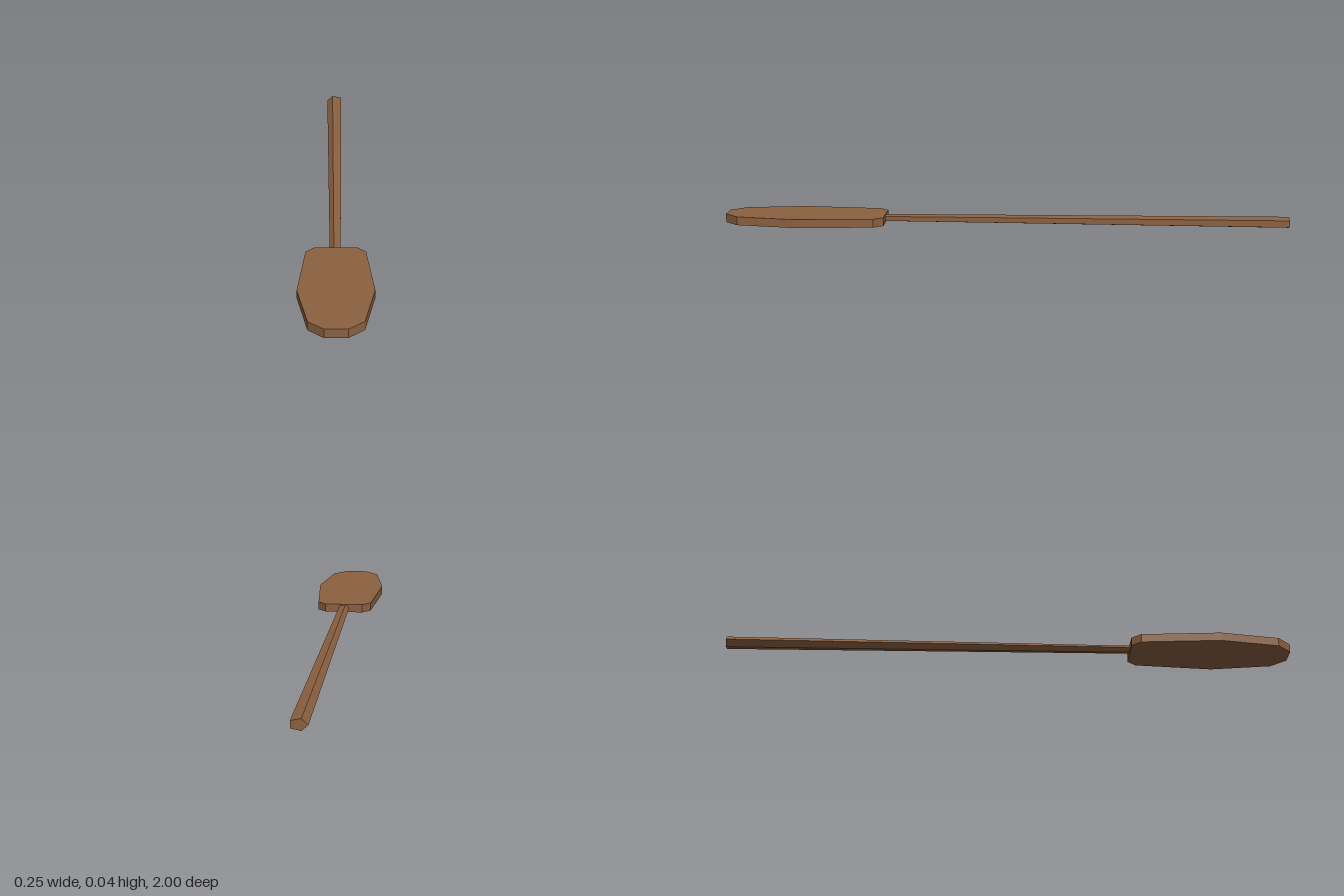
import * as THREE from 'three';

export function createModel() {
  const model = new THREE.Group();
  const wood = new THREE.MeshStandardMaterial({ color: 0x8b6040, flatShading: true });
  wood.name = 'brown wood';

  const add = (name, geometry) => {
    const mesh = new THREE.Mesh(geometry, wood);
    mesh.name = name;
    model.add(mesh);
  };

  // Flat blade: half outline [x, z] mirrored across x = 0
  const half = [[0.037, 1], [0.088, 0.95], [0.124, 0.74], [0.1, 0.462], [0.07, 0.43]];
  const mirrored = half.map(([x, z]) => [-x, z]).reverse();
  const outline = [...half, ...mirrored].map(([x, z]) => new THREE.Vector2(x, -z));
  const blade = new THREE.ExtrudeGeometry(new THREE.Shape(outline), { depth: 0.03, bevelEnabled: false });
  blade.rotateX(-Math.PI / 2);
  blade.translate(0, 0.0045, 0);
  add('blade', blade);

  // Five-sided handle, flattened and thicker toward the back end
  const frontZ = 0.45, backZ = -1;
  const handle = new THREE.CylinderGeometry(0.02, 0.031, frontZ - backZ, 5, 1, false, -Math.PI / 2);
  handle.rotateX(Math.PI / 2);
  handle.scale(1, 0.67, 1);
  handle.translate(0, 0.02, (frontZ + backZ) / 2);
  add('handle', handle);

  return model;
}
